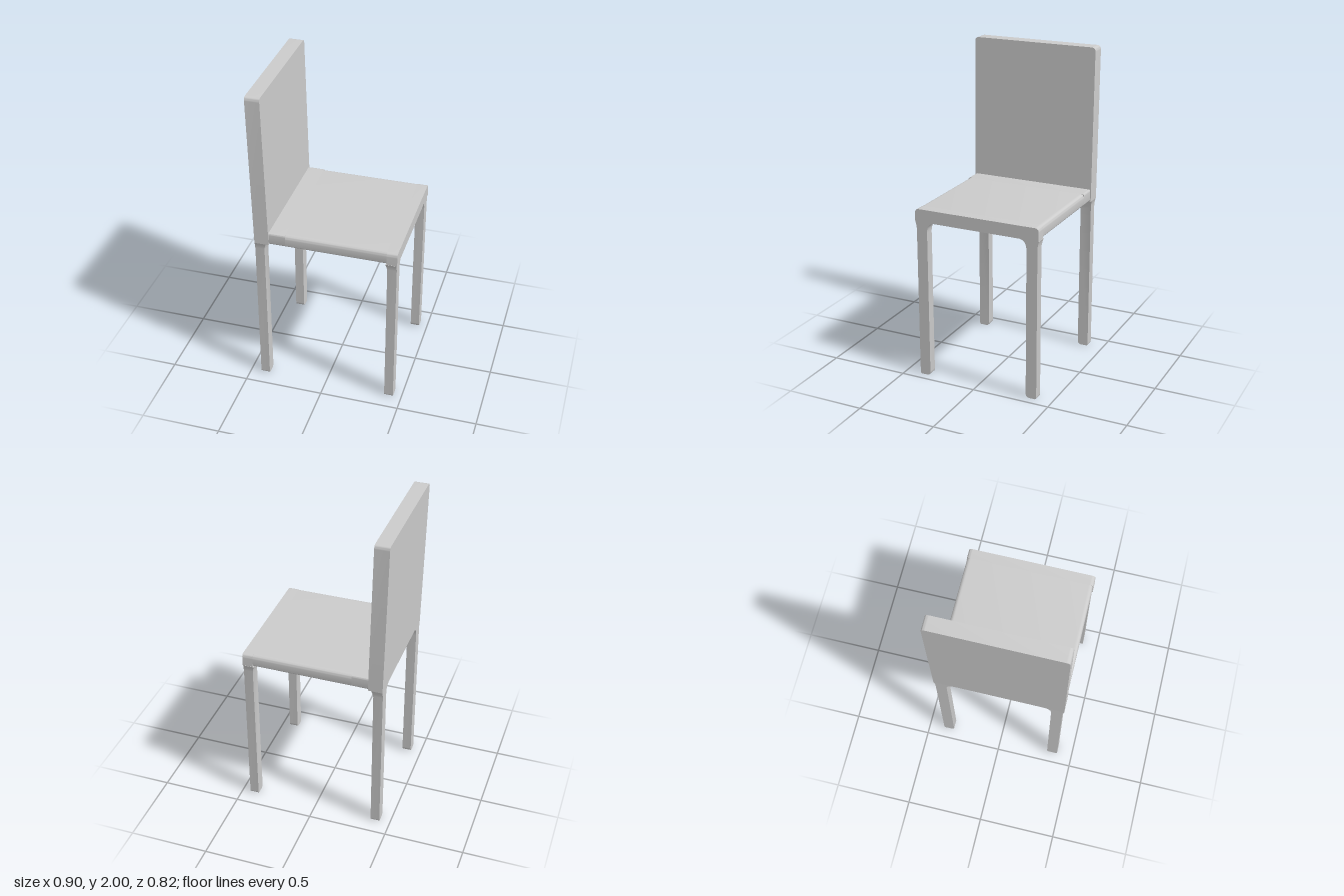
import * as THREE from 'three';
import { toCreasedNormals } from 'three/addons/utils/BufferGeometryUtils.js';

const material = new THREE.MeshStandardMaterial({ color: 0xcccccc });

// Extrude a side-to-side profile (across z, up y) along x from x0 to x1.
function extrudeX(shape, x0, x1) {
  const g = new THREE.ExtrudeGeometry(shape, { depth: x1 - x0, bevelEnabled: false, curveSegments: 6 });
  g.rotateY(Math.PI / 2).translate(x0, 0, 0);
  return g;
}

// Shift x by a rule of (x, y).
function bendX(g, rule) {
  const p = g.attributes.position;
  for (let i = 0; i < p.count; i++) p.setX(i, rule(p.getX(i), p.getY(i)));
  return g;
}

// Symmetric slab profile with rounded top and bottom corners.
function slab(half, y0, y1, top, bottom) {
  const s = new THREE.Shape();
  s.moveTo(-half + bottom, y0);
  s.lineTo(half - bottom, y0);
  if (bottom) s.quadraticCurveTo(half, y0, half, y0 + bottom);
  s.lineTo(half, y1 - top);
  s.quadraticCurveTo(half, y1, half - top, y1);
  s.lineTo(-half + top, y1);
  s.quadraticCurveTo(-half, y1, -half, y1 - top);
  s.lineTo(-half, y0 + bottom);
  if (bottom) s.quadraticCurveTo(-half, y0, -half + bottom, y0);
  return s;
}

// Leg profile: rounded foot, flared shoulder outside, arch fillet inside.
function legProfile(side) {
  const s = new THREE.Shape();
  const r = 0.025;
  s.moveTo(side * (0.33 + r), 0);
  s.lineTo(side * (0.4 - r / 2), 0);
  s.quadraticCurveTo(side * 0.4, 0, side * 0.4, r / 2);
  s.lineTo(side * 0.4, 0.97);
  s.quadraticCurveTo(side * 0.402, 1.0, side * 0.41, 1.02);
  s.lineTo(side * 0.27, 1.02);
  s.quadraticCurveTo(side * 0.33, 1.02, side * 0.33, 0.955);
  s.lineTo(side * 0.33, r);
  s.quadraticCurveTo(side * 0.33, 0, side * (0.33 + r), 0);
  return s;
}

export function createModel() {
  const group = new THREE.Group();
  const add = (name, geometry) => {
    const mesh = new THREE.Mesh(toCreasedNormals(geometry, 0.6), material);
    mesh.name = name;
    group.add(mesh);
  };

  // Seat: plain rear part, softened middle, and the block above the front legs
  add('seatRear', extrudeX(slab(0.405, 1.02, 1.1, 0.012, 0.02), -0.4, -0.24));
  add('seat', extrudeX(slab(0.405, 1.02, 1.1, 0.027, 0.02), -0.24, 0.385));
  add('seatFront', extrudeX(slab(0.408, 1.02, 1.1, 0.025, 0), 0.385, 0.45));

  // Backrest leaning slightly backwards
  add('backrest', bendX(extrudeX(slab(0.41, 1.02, 2, 0.025, 0), -0.433, -0.343),
    (x, y) => x - 0.02 * (y - 1.02) / 0.98));

  // Legs, their inner faces widening a little where they meet the seat
  for (const [end, x0, x1] of [['front', 0.39, 0.447], ['back', -0.433, -0.375]]) {
    for (const side of [1, -1]) {
      const inner = end === 'front' ? x0 : x1;
      const leg = bendX(extrudeX(legProfile(side), x0, x1), (x, y) =>
        Math.abs(x - inner) < 0.01 ? x - Math.sign(inner) * 0.012 * Math.max(0, (y - 0.955) / 0.065) ** 2 : x);
      add(end + (side > 0 ? 'Right' : 'Left') + 'Leg', leg);
    }
  }
  return group;
}
